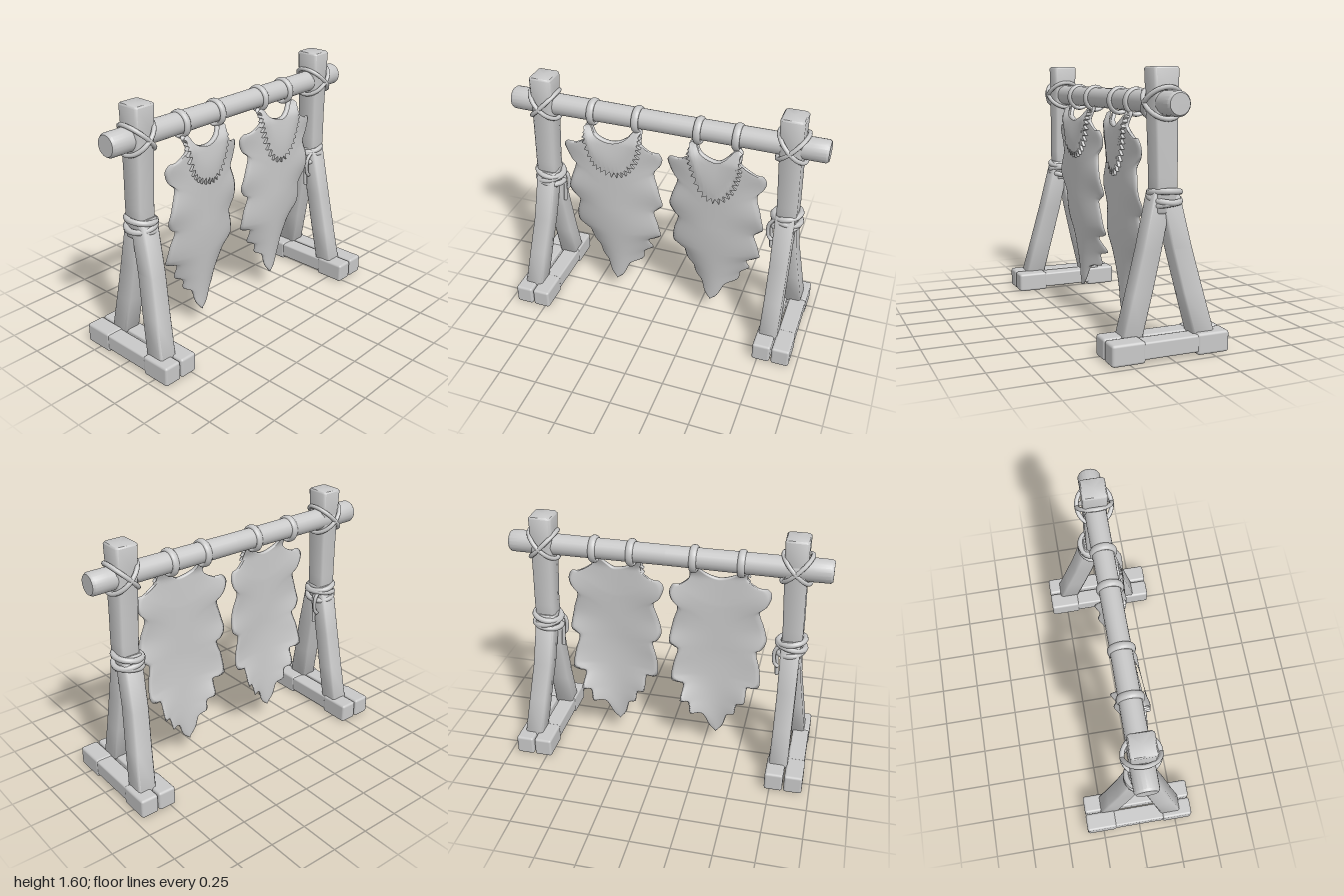
import * as THREE from 'three';
import { toCreasedNormals } from 'three/addons/utils/BufferGeometryUtils.js';
import { RoundedBoxGeometry } from 'three/addons/geometries/RoundedBoxGeometry.js';

const grey = new THREE.MeshStandardMaterial({ color: 0xc8c8c8 });
grey.name = 'plain grey';
const V = (x, y, z) => new THREE.Vector3(x, y, z);
const { lerp, clamp, smoothstep } = THREE.MathUtils;

function add(parent, name, geometry) {
  const mesh = new THREE.Mesh(geometry, grey);
  mesh.name = name;
  parent.add(mesh);
  return mesh;
}

// Skin a list of cross-sections (arrays of Vector3); closed joins each row into a loop
function skin(rows, closed) {
  const n = rows[0].length, index = [];
  for (let i = 0; i < rows.length - 1; i++) {
    for (let j = 0; j < (closed ? n : n - 1); j++) {
      const k = (j + 1) % n;
      const a = i * n + j, b = i * n + k, c = (i + 1) * n + k, d = (i + 1) * n + j;
      index.push(a, d, c, a, c, b);
    }
  }
  const g = new THREE.BufferGeometry().setFromPoints(rows.flat());
  g.setIndex(index);
  g.computeVertexNormals();
  return g;
}

// Squared timber with softened edges; sections run upwards as [x, y, z, width, depth]
function timber(sections) {
  const first = sections[0], last = sections[sections.length - 1];
  const inset = (s, dy, k) => [s[0], s[1] + dy, s[2], s[3] * k, s[4] * k];
  const all = [inset(first, 0, 0), inset(first, 0, 0.9), inset(first, 0.01, 1),
    ...sections.slice(1, -1), inset(last, -0.01, 1), inset(last, 0, 0.9), inset(last, 0, 0)];
  const corner = [[1, -0.82], [1, 0.82], [0.82, 1], [-0.82, 1], [-1, 0.82], [-1, -0.82], [-0.82, -1], [0.82, -1]];
  const rows = all.map(([x, y, z, w, d]) => corner.map(([cx, cz]) => V(x + cx * w / 2, y, z + cz * d / 2)));
  return toCreasedNormals(skin(rows, true), 0.85);
}

// Elliptical rope loop spanned by two half-axes
function ropeLoop(center, a, b, r) {
  const pts = [];
  for (let i = 0; i < 16; i++) {
    const t = i / 16 * Math.PI * 2;
    pts.push(center.clone().addScaledVector(a, Math.cos(t)).addScaledVector(b, Math.sin(t)));
  }
  return new THREE.TubeGeometry(new THREE.CatmullRomCurve3(pts, true), 40, r, 8, true);
}

// One end stand: post, two splayed legs, paired feet and rope lashings (centred on lashZ)
function makeStand(lashZ) {
  const stand = new THREE.Group();
  add(stand, 'post', timber([[0.793, 0.8, -0.008, 0.125, 0.125], [0.795, 1.0, -0.009, 0.126, 0.13],
    [0.788, 1.2, -0.008, 0.13, 0.135], [0.782, 1.42, -0.005, 0.135, 0.145], [0.779, 1.6, -0.004, 0.144, 0.155]]));
  add(stand, 'frontLeg', timber([[0.787, 0.1, 0.19, 0.12, 0.125], [0.79, 0.35, 0.132, 0.115, 0.125],
    [0.792, 0.6, 0.075, 0.115, 0.12], [0.79, 0.93, 0.008, 0.12, 0.115]]));
  add(stand, 'backLeg', timber([[0.86, 0.1, -0.218, 0.12, 0.135], [0.835, 0.35, -0.16, 0.12, 0.13],
    [0.807, 0.6, -0.102, 0.12, 0.125], [0.79, 0.93, -0.03, 0.125, 0.115]]));
  for (const x of [0.773, 0.897]) {
    add(stand, 'footMiddle', new RoundedBoxGeometry(0.108, 0.1, 0.5, 2, 0.012)).position.set(x, 0.068, 0);
    for (const z of [0.26, -0.26]) {
      add(stand, 'footEnd', new RoundedBoxGeometry(0.116, 0.125, 0.2, 2, 0.016)).position.set(x, 0.0625, z);
    }
  }
  // Crossed lashing where the rail meets the post
  for (const s of [1, -1]) {
    add(stand, 'crossLashing', ropeLoop(V(0.785, 1.405, -0.003), V(0.086, 0.086 * s, 0), V(0, 0, 0.107), 0.014));
  }
  // Wrapped lashing around the tops of the legs
  [[0.845, 0.012, -0.008], [0.878, -0.016, 0.006], [0.912, 0.014, 0.004]].forEach(([y, tx, tz], i) => {
    add(stand, 'legLashing', ropeLoop(V(0.79, y, lashZ), V(0.083 + 0.004 * (i % 2), tx, 0), V(0, tz, 0.085), 0.018));
  });
  // Hanging rope ends
  for (const [z, low, dx] of [[0.02, 0.67, 0], [0.045, 0.74, -0.012]]) {
    const path = new THREE.CatmullRomCurve3([V(0.735, 0.9, z), V(0.708 + dx, 0.85, z), V(0.71 + dx, 0.76, z), V(0.715, low, z)]);
    add(stand, 'ropeEnd', new THREE.TubeGeometry(path, 16, 0.012, 8));
    add(stand, 'ropeTip', new THREE.SphereGeometry(0.013, 8, 6)).position.set(0.715, low, z);
  }
  return stand;
}

const spline = pts => new THREE.SplineCurve(pts.map(p => new THREE.Vector2(p[0], p[1])));

// Bulge of a hide: sides curl back more towards the bottom, the outer edge swings forward at the top
function hideZ(x, y, outer) {
  const d = x / (0.31 * clamp(0.15 + (y - 0.12) * 2, 0.15, 1));
  const upper = smoothstep(y, 0.45, 0.9);
  const base = lerp(0.024, 0.07, smoothstep(y, 0.1, 0.75));
  const tuck = 0.03 * smoothstep(y, 1.25, 1.35);
  const curl = lerp(0.085 * smoothstep(y, 0.1, 0.35), 0.03, upper);
  return base - tuck + 0.022 * d * outer * upper - d * d * (curl + 0.01 * Math.sin(y * 19) * smoothstep(y, 0.2, 0.5));
}

// Ragged hide with a jagged folded collar; x is local to the hide, earX shifts its right ear
function makeHide(earX, outer, collarLine) {
  const hide = new THREE.Group();
  const left = spline([[-0.173, 1.33], [-0.165, 1.25], [-0.235, 1.205], [-0.29, 1.205], [-0.318, 1.165], [-0.293, 1.09],
    [-0.25, 1.04], [-0.283, 0.93], [-0.303, 0.84], [-0.275, 0.78], [-0.245, 0.75], [-0.273, 0.65], [-0.283, 0.54],
    [-0.245, 0.51], [-0.203, 0.5], [-0.193, 0.4], [-0.143, 0.37], [-0.128, 0.3], [-0.083, 0.28], [-0.053, 0.18], [-0.008, 0.118]]);
  const right = spline([[0.192 + earX, 1.33], [0.202 + earX, 1.24], [0.257, 1.2], [0.297, 1.2], [0.318, 1.155], [0.305, 1.1],
    [0.267, 1.04], [0.297, 0.93], [0.317, 0.8], [0.287, 0.76], [0.262, 0.73], [0.287, 0.63], [0.297, 0.53],
    [0.257, 0.5], [0.217, 0.48], [0.227, 0.385], [0.177, 0.36], [0.157, 0.28], [0.092, 0.27], [0.037, 0.16], [-0.008, 0.118]]);
  const neck = spline([[-0.173, 1.33], [-0.135, 1.342], [-0.09, 1.28], [0.007, 1.25],
    [0.095 + earX, 1.28], [0.157 + earX, 1.345], [0.192 + earX, 1.33]]);
  const l0 = left.getPoint(0), r0 = right.getPoint(0);
  const N = 32, M = 100, rows = [];
  for (let i = -1; i <= M; i++) {
    const v = Math.max(i, 0) / M, l = left.getPoint(v), r = right.getPoint(v);
    const thick = i < 0 ? 0 : lerp(0.012, 0.02, Math.min(1, v * 6)) * (1 - 0.4 * v);
    const at = (k, side) => {
      const s = k / N, u = 2 * s - 1, t = neck.getPoint(s), fade = Math.pow(1 - v, 5);
      const x = lerp(l.x, r.x, s) + fade * (t.x - lerp(l0.x, r0.x, s));
      const edgeY = lerp(l.y, r.y, s) + fade * (t.y - lerp(l0.y, r0.y, s));
      const y = lerp(lerp(t.y, 0.118, v), edgeY, u ** 4);
      return V(x, y, hideZ(x, y, outer) + side * thick * Math.pow(Math.max(0, 1 - u * u), 0.3));
    };
    const row = [];
    for (let k = 0; k <= N; k++) row.push(at(k, 1));
    for (let k = N - 1; k > 0; k--) row.push(at(k, -1));
    rows.push(row);
  }
  add(hide, 'hide', skin(rows, true));

  // Collar: from the neckline down to a toothed edge that turns back to the hide
  const hem = spline(collarLine), C = 48, collar = [];
  for (let i = 0; i <= 13; i++) {
    const f = Math.min(i, 12) / 12, row = [];
    for (let k = 0; k <= C; k++) {
      const s = k / C, a = neck.getPoint(s), b = hem.getPoint(s), tan = hem.getTangent(Math.min(s, 0.999));
      const tooth = (k % 2 ? 0.026 : -0.014) * Math.min(1, 7 * s, 7 * (1 - s)) * f ** 6;
      const x = lerp(a.x, b.x, f) + tan.y * tooth, y = lerp(a.y, b.y, f) - tan.x * tooth;
      const lift = i > 12 ? 0.005 : 0.023 + 0.018 * Math.sin(Math.PI * (0.05 + f * 0.7));
      row.push(V(x, y, hideZ(x, y, outer) + lift));
    }
    collar.push(row);
  }
  add(hide, 'collar', toCreasedNormals(skin(collar, false), 0.8));
  return hide;
}

export function createModel() {
  const model = new THREE.Group();
  model.name = 'hideDryingRack';

  // Two stands, the second turned half a turn
  for (const [name, turn, lashZ] of [['leftStand', 0, -0.023], ['rightStand', Math.PI, -0.008]]) {
    const stand = makeStand(lashZ);
    stand.name = name;
    stand.rotation.y = turn;
    model.add(stand);
  }

  // Round rail, a little thicker at its ends
  const profile = [[0, -1], [0.062, -1], [0.072, -0.985], [0.073, -0.88], [0.068, -0.7], [0.064, 0],
    [0.067, 0.7], [0.07, 0.9], [0.07, 0.985], [0.06, 1], [0, 1]].map(p => new THREE.Vector2(p[0], p[1]));
  const rail = add(model, 'rail', toCreasedNormals(new THREE.LatheGeometry(profile, 20), 0.6));
  rail.rotation.z = -Math.PI / 2;
  rail.position.set(0, 1.405, -0.004);

  // Bands hanging the hides from the rail
  for (const x of [-0.46, -0.168, 0.222, 0.46]) {
    const band = add(model, 'hangingBand', new THREE.TorusGeometry(0.07, 0.013, 10, 28));
    band.rotation.y = Math.PI / 2;
    band.scale.set(1, 1.06, 1.8);
    band.position.set(x, 1.398, 0);
  }

  const first = makeHide(0, -1, [[-0.165, 1.32], [-0.156, 1.255], [-0.118, 1.125], [-0.063, 1.06], [0.027, 1.03],
    [0.1, 1.06], [0.155, 1.15], [0.175, 1.255], [0.182, 1.32]]);
  first.name = 'rightHide';
  first.position.x = -0.327;
  const second = makeHide(-0.03, 1, [[-0.165, 1.32], [-0.16, 1.255], [-0.13, 1.15], [-0.068, 1.02], [0.018, 0.985],
    [0.095, 1.05], [0.132, 1.15], [0.146, 1.24], [0.152, 1.32]]);
  second.name = 'leftHide';
  second.position.x = 0.345;
  model.add(first, second);
  return model;
}
